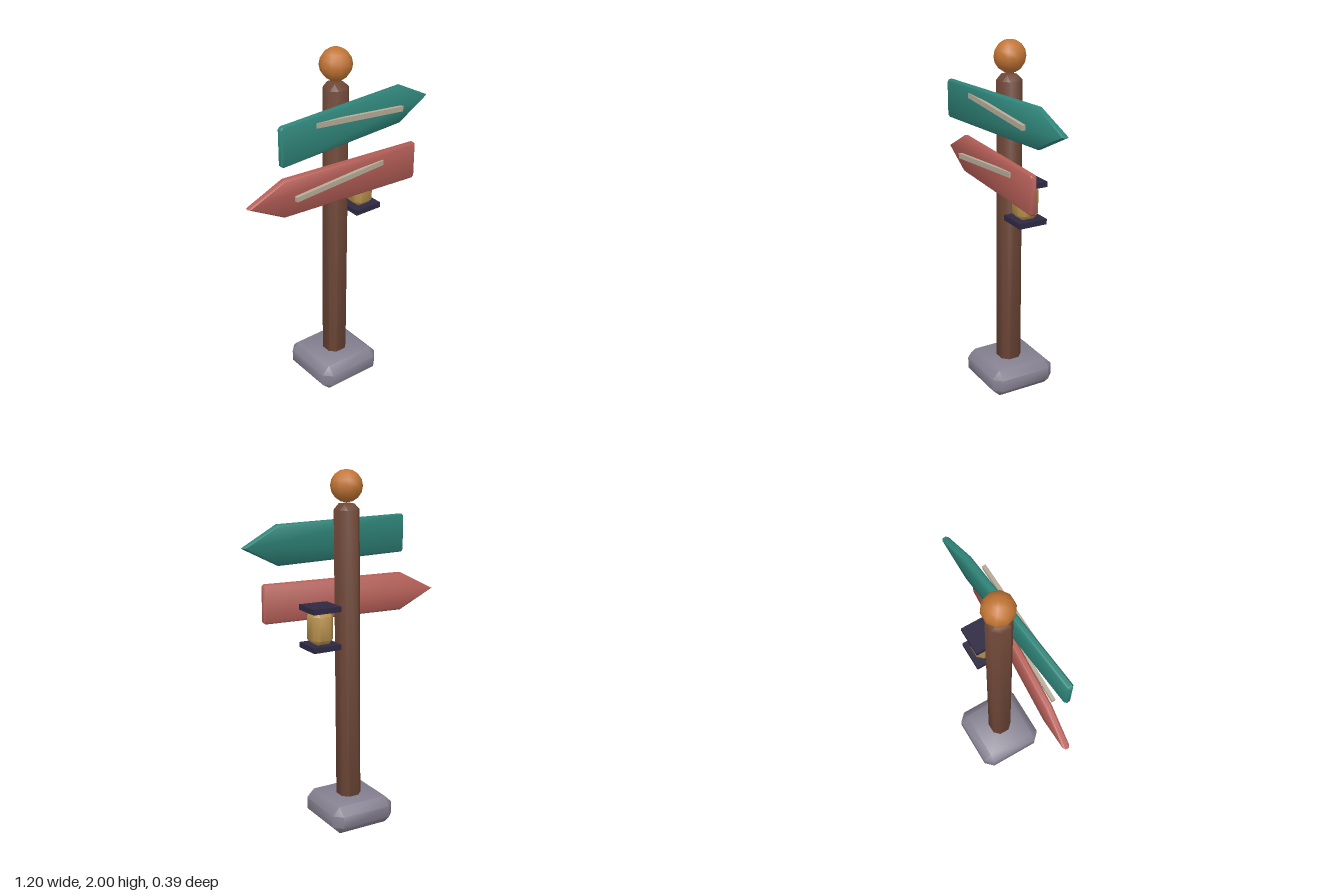
import * as THREE from 'three';
import { toCreasedNormals } from 'three/addons/utils/BufferGeometryUtils.js';
import { ConvexGeometry } from 'three/addons/geometries/ConvexGeometry.js';

const material = (color) => new THREE.MeshStandardMaterial({ color });
const wood = material(0x6e4737);
const stone = material(0x858090);
const brass = material(0xc27535);
const teal = material(0x2f8479);
const red = material(0xb55e57);
const paint = material(0xb5aa96);
const iron = material(0x2e2942);
const glass = material(0xb8914c);

// Box whose edges and corners are cut by one bevel
function chamferBox(w, h, d, b) {
  const points = [];
  for (const x of [-1, 1]) for (const y of [-1, 1]) for (const z of [-1, 1]) {
    for (let axis = 0; axis < 3; axis++) {
      const inset = [0, 1, 2].map((i) => (i === axis ? 0 : b));
      points.push(new THREE.Vector3(
        x * (w / 2 - inset[0]), y * (h / 2 - inset[1]), z * (d / 2 - inset[2])));
    }
  }
  return toCreasedNormals(new ConvexGeometry(points), 0.9);
}

// Arrow board pointing to +x (side = 1) or -x (side = -1), centred on the post
function arrowBoard(side) {
  const tail = -0.45, shoulder = 0.39, tip = 0.602, half = 0.108, cut = 0.012;
  const outline = [
    [tail + cut, -half], [shoulder, -half], [tip, 0], [shoulder, half],
    [tail + cut, half], [tail, half - cut], [tail, cut - half],
  ].map(([x, y]) => new THREE.Vector2(x * side, y));
  if (side < 0) outline.reverse();
  const bevel = 0.01, depth = 0.038;
  const geometry = new THREE.ExtrudeGeometry(new THREE.Shape(outline), {
    depth: depth - 2 * bevel, bevelEnabled: true, bevelSegments: 1,
    bevelSize: bevel, bevelThickness: bevel, bevelOffset: -bevel,
  });
  geometry.translate(0, 0, bevel - depth / 2);
  return toCreasedNormals(geometry, 0.9);
}

export function createModel() {
  const model = new THREE.Group();
  model.name = 'signpost';

  function add(name, geometry, mat, x, y, z, parent = model) {
    const mesh = new THREE.Mesh(geometry, mat);
    mesh.name = name;
    mesh.position.set(x, y, z);
    parent.add(mesh);
    return mesh;
  }

  // Stone foot, slightly leaning post and round finial
  add('stoneBase', chamferBox(0.39, 0.16, 0.39, 0.046), stone, -0.015, 0.08, -0.003);
  const post = add('post', chamferBox(0.125, 1.74, 0.125, 0.032), wood, -0.008, 0.95, 0.002);
  post.rotation.z = -0.007;
  add('finial', new THREE.SphereGeometry(0.0875, 10, 8), brass, 0, 1.9125, 0);

  // Two arrow boards turned opposite ways, each with a painted stroke
  const boards = [
    { name: 'upper', side: 1, y: 1.62, turn: 0.095, mat: teal, strokeY: 1.65, tilt: -0.09 },
    { name: 'lower', side: -1, y: 1.298, turn: -0.067, mat: red, strokeY: 1.325, tilt: 0.075 },
  ];
  for (const { name, side, y, turn, mat, strokeY, tilt } of boards) {
    const board = add(name + 'Board', arrowBoard(side), mat, 0, y, 0.09);
    board.rotation.y = turn;
    const stroke = add(name + 'Stroke', new THREE.BoxGeometry(0.575, 0.028, 0.02),
      paint, 0.064 * side, strokeY, 0.123);
    stroke.rotation.z = tilt;
  }

  // Lantern beside the post
  const lantern = new THREE.Group();
  lantern.name = 'lantern';
  lantern.position.set(0.165, 1.165, 0);
  model.add(lantern);
  add('lanternGlass', chamferBox(0.125, 0.19, 0.125, 0.03), glass, 0, 0, 0.002, lantern);
  for (const [name, y] of [['lanternCap', 0.105], ['lanternFloor', -0.105]]) {
    add(name, new THREE.BoxGeometry(0.167, 0.03, 0.167), iron, 0, y, 0, lantern);
  }

  return model;
}
